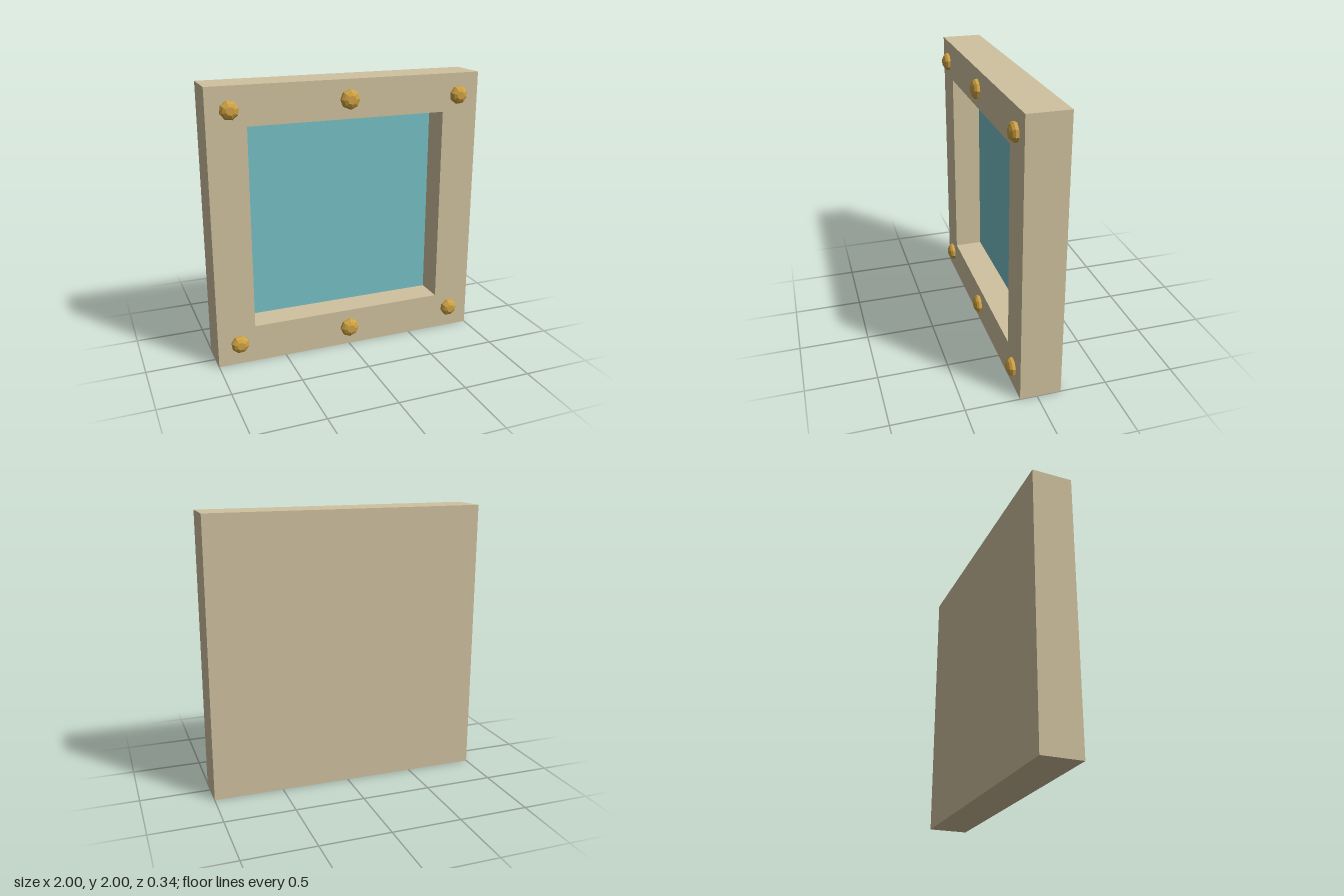
import * as THREE from 'three';

const FRAME = new THREE.MeshStandardMaterial({ color: 0xd0c29f });
const GLASS = new THREE.MeshStandardMaterial({ color: 0x76c0c5 });
const BRASS = new THREE.MeshStandardMaterial({ color: 0xcfa244, flatShading: true });

const BACK = -0.17, PANE = -0.09, FRONT = 0.12;
const OPENING = 1.45;

function part(name, geometry, material, x, y, z) {
  const mesh = new THREE.Mesh(geometry, material);
  mesh.name = name;
  mesh.position.set(x, y, z);
  return mesh;
}

// Square outline centred on the origin
function square(size, Type) {
  const h = size / 2;
  return new Type([[-h, -h], [h, -h], [h, h], [-h, h]].map(([x, y]) => new THREE.Vector2(x, y)));
}

// Eight-sided faceted stud, axis along +z, seated slightly into the frame
function studGeometry(radius) {
  const profile = [[radius * 0.85, -0.02], [radius, 0], [radius, 0.02], [radius * 0.8, 0.036], [radius * 0.45, 0.048], [0, 0.048]];
  return new THREE.LatheGeometry(profile.map(([r, y]) => new THREE.Vector2(r, y)), 8).rotateX(Math.PI / 2);
}

export function createModel() {
  const group = new THREE.Group();
  group.name = 'framedWindow';

  // Square surround with a deep opening
  const outline = square(2, THREE.Shape);
  outline.holes.push(square(OPENING, THREE.Path));
  const surround = new THREE.ExtrudeGeometry(outline, { depth: FRONT - PANE, bevelEnabled: false });
  group.add(part('frame', surround, FRAME, 0, 1, PANE));

  // Solid back and the coloured pane at the bottom of the recess
  group.add(part('backPanel', new THREE.BoxGeometry(2, 2, PANE - BACK), FRAME, 0, 1, (BACK + PANE) / 2));
  group.add(part('pane', new THREE.PlaneGeometry(OPENING, OPENING), GLASS, 0, 1, PANE + 0.003));

  // Studs: one in each corner, one in the middle of the top and bottom rails
  const cornerStud = studGeometry(0.065), middleStud = studGeometry(0.07);
  for (const side of [-1, 1]) {
    group.add(part('middleStud', middleStud, BRASS, 0, 1 + side * 0.862, FRONT));
    for (const x of [-0.842, 0.842]) {
      const stud = part('cornerStud', cornerStud, BRASS, x, 1 + side * 0.842, FRONT);
      stud.rotation.z = -Math.sign(x) * side * Math.PI / 12;
      group.add(stud);
    }
  }
  return group;
}
